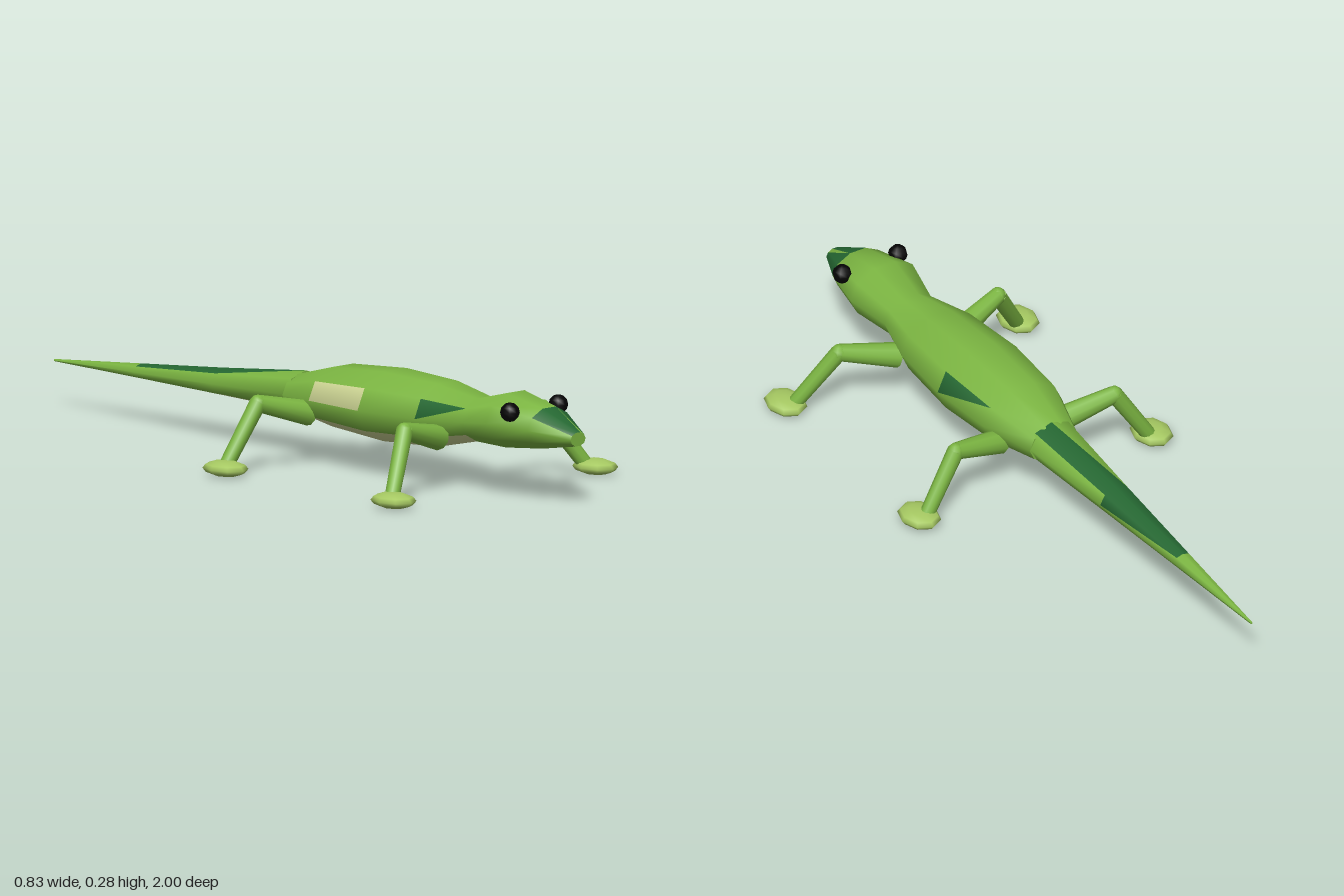
import * as THREE from 'three';

const mat = (name, color) => {
  const m = new THREE.MeshStandardMaterial({ color });
  m.name = name;
  return m;
};

// Elliptical rings [z, centre y, radius x, radius y] lofted from front to back.
// paint(ring, side, triangle) gives the material index of each triangle.
function loft(rings, sides, paint, materialCount) {
  const pos = [];
  const lists = Array.from({ length: materialCount }, () => []);
  for (const [z, cy, rx, ry] of rings) {
    for (let j = 0; j < sides; j++) {
      const t = (j / sides) * Math.PI * 2;
      pos.push(rx * Math.cos(t), cy + ry * Math.sin(t), z);
    }
  }
  for (let i = 0; i < rings.length - 1; i++) {
    for (let j = 0; j < sides; j++) {
      const k = (j + 1) % sides;
      const a = i * sides + j, b = i * sides + k;
      const c = a + sides, d = b + sides;
      lists[paint(i, j, 0)].push(a, d, b);
      lists[paint(i, j, 1)].push(a, c, d);
    }
  }
  // Flat end caps with their own vertices
  for (const end of [0, rings.length - 1]) {
    const base = pos.length / 3;
    for (let j = 0; j < sides * 3; j++) pos.push(pos[end * sides * 3 + j]);
    for (let j = 1; j < sides - 1; j++) {
      if (end === 0) lists[0].push(base, base + j, base + j + 1);
      else lists[0].push(base, base + j + 1, base + j);
    }
  }
  const g = new THREE.BufferGeometry();
  g.setAttribute('position', new THREE.Float32BufferAttribute(pos, 3));
  g.setIndex(lists.flat());
  let start = 0;
  lists.forEach((l, m) => {
    g.addGroup(start, l.length, m);
    start += l.length;
  });
  g.computeVertexNormals();
  return g;
}

// Tapered limb segment between two points
function limb(name, from, to, r0, r1, material) {
  const dir = to.clone().sub(from);
  const mesh = new THREE.Mesh(new THREE.CylinderGeometry(r1, r0, dir.length(), 10), material);
  mesh.position.copy(from).add(to).multiplyScalar(0.5);
  mesh.quaternion.setFromUnitVectors(new THREE.Vector3(0, 1, 0), dir.normalize());
  mesh.name = name;
  return mesh;
}

function ball(name, x, y, z, rx, ry, rz, material) {
  const mesh = new THREE.Mesh(new THREE.SphereGeometry(1, 8, 6), material);
  mesh.position.set(x, y, z);
  mesh.scale.set(rx, ry, rz);
  mesh.name = name;
  return mesh;
}

export function createModel() {
  const green = mat('skin green', 0x7cb642);
  const dark = mat('patch green', 0x256832);
  const cream = mat('belly cream', 0xcdd594);
  const footMat = mat('foot green', 0xa6c962);
  const black = mat('eye black', 0x040404);
  const skins = [green, dark, cream];
  const root = new THREE.Group();
  root.name = 'lizard';

  // Head and trunk
  const bodyRings = [
    [1, 0.18, 0.027, 0.019],
    [0.89, 0.197, 0.078, 0.056],
    [0.76, 0.203, 0.107, 0.076],
    [0.64, 0.187, 0.08, 0.06],
    [0.5, 0.182, 0.118, 0.088],
    [0.3, 0.18, 0.135, 0.097],
    [0.1, 0.179, 0.122, 0.083],
    [-0.05, 0.168, 0.075, 0.052],
  ];
  const paintBody = (i, j, t) => {
    if (i === 0 && j <= 3 && !(j === 1 && t === 0)) return 1; // snout
    if (i === 5 && j === 0 && t === 0) return 1; // left flank patch
    if (i === 3 && j === 4 && t === 1) return 1; // right shoulder patch
    if (i === 5 && j === 4) return 2; // right flank pale patch
    if (i >= 3 && j >= 6 && j <= 8) return 2; // belly
    return 0;
  };
  const body = new THREE.Mesh(loft(bodyRings, 10, paintBody, 3), skins);
  body.name = 'body';
  root.add(body);

  // Tail
  const tailRings = [
    [-0.04, 0.17, 0.073, 0.056],
    [-0.35, 0.155, 0.05, 0.037],
    [-0.67, 0.141, 0.027, 0.02],
    [-1, 0.126, 0.003, 0.003],
  ];
  const paintTail = (i, j, t) => {
    if (i === 0 && (j === 1 || (j === 2 && t === 1))) return 1;
    if (i === 1 && (j === 1 || j === 2 || (j === 0 && t === 0))) return 1;
    if (i === 0 && (j === 5 || j === 6)) return 2;
    return 0;
  };
  const tail = new THREE.Mesh(loft(tailRings, 8, paintTail, 3), skins);
  tail.name = 'tail';
  root.add(tail);

  // Legs: hip z, knee z, ankle z, foot z
  const legs = { front: [0.56, 0.6, 0.66, 0.68], back: [0.07, 0.04, 0.025, 0.038] };
  for (const s of [1, -1]) {
    const side = s > 0 ? 'left' : 'right';
    for (const [end, [hz, kz, az, fz]] of Object.entries(legs)) {
      const leg = new THREE.Group();
      leg.name = `${end} ${side} leg`;
      const hip = new THREE.Vector3(s * 0.09, 0.138, hz);
      const knee = new THREE.Vector3(s * 0.248, 0.18, kz);
      const ankle = new THREE.Vector3(s * 0.35, 0.022, az);
      leg.add(
        limb('upper leg', hip, knee, 0.034, 0.023, green),
        ball('knee', knee.x, knee.y, knee.z, 0.023, 0.023, 0.023, green),
        limb('lower leg', knee, ankle, 0.023, 0.02, green),
        ball('foot', s * 0.363, 0.021, fz, 0.053, 0.021, 0.068, footMat),
      );
      root.add(leg);
    }
    // Eyes
    root.add(ball(`${side} eye`, s * 0.087, 0.241, 0.832, 0.026, 0.026, 0.026, black));
  }
  return root;
}
